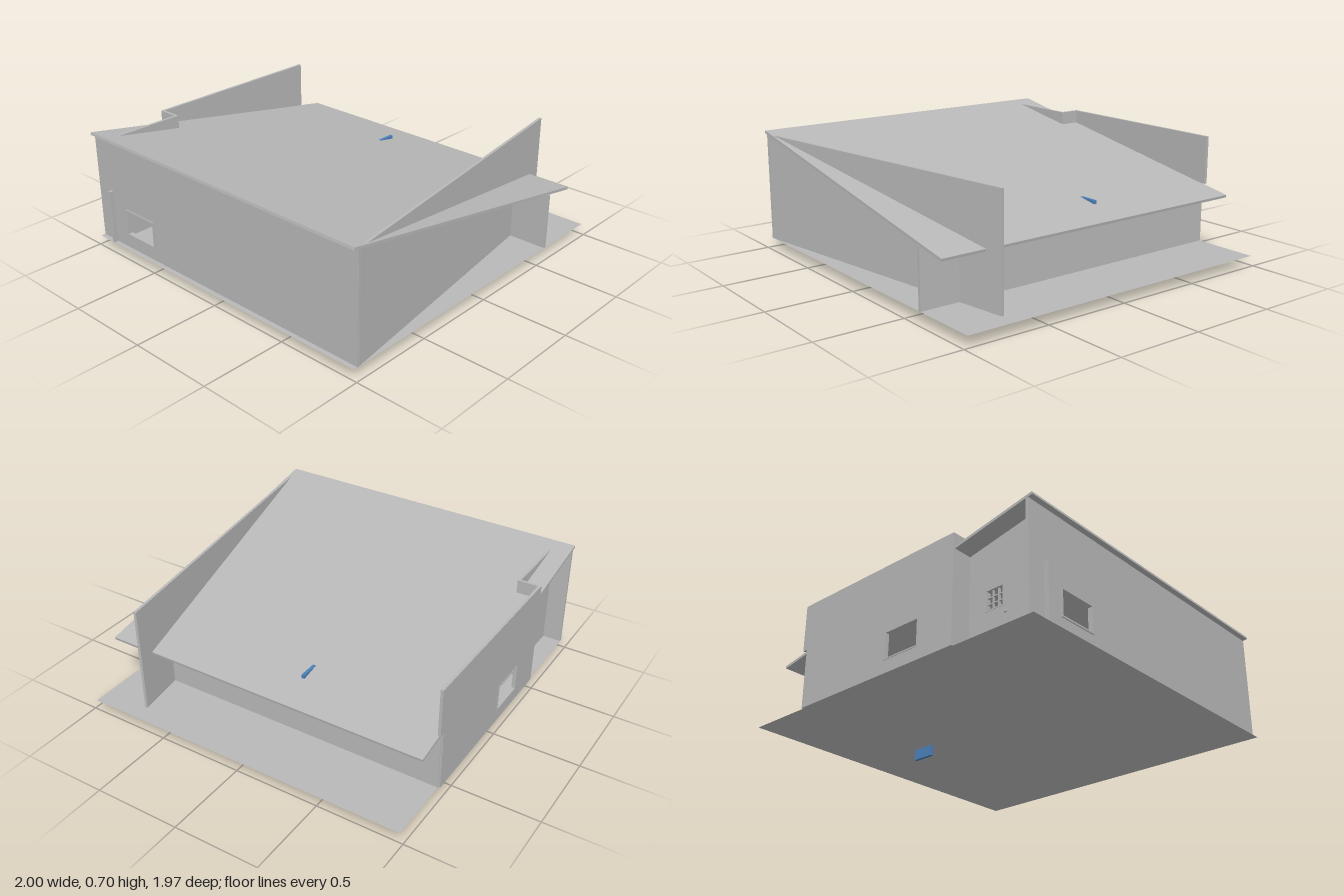
import * as THREE from 'three';

const FLOOR = 0.062, TOP = 0.688, T = 0.016;

export function createModel() {
  const model = new THREE.Group();
  const grey = new THREE.MeshStandardMaterial({ color: 0xb8b8b8 });
  grey.name = 'concrete grey';
  grey.side = THREE.DoubleSide;
  const blue = new THREE.MeshStandardMaterial({ color: 0x4c80b8 });
  blue.name = 'panel blue';

  const add = (name, geo, mat = grey, parent = model) => {
    const m = new THREE.Mesh(geo, mat);
    m.name = name;
    parent.add(m);
    return m;
  };
  // Box given by its minimum and maximum corners
  const box = (name, a, b, mat, parent) => {
    const m = add(name, new THREE.BoxGeometry(b[0] - a[0], b[1] - a[1], b[2] - a[2]), mat, parent);
    m.position.set((a[0] + b[0]) / 2, (a[1] + b[1]) / 2, (a[2] + b[2]) / 2);
    return m;
  };
  // Upright wall: outline in (distance along, height), with rectangular holes [u0, y0, u1, y1]
  const rect = (u0, y0, u1, y1) => [[u0, y0], [u1, y0], [u1, y1], [u0, y1]].map(p => new THREE.Vector2(...p));
  const wall = (name, [x0, z0], [x1, z1], outline, holes = []) => {
    const shape = new THREE.Shape(outline);
    holes.forEach(h => shape.holes.push(new THREE.Path(rect(...h))));
    const geo = new THREE.ExtrudeGeometry(shape, { depth: T, bevelEnabled: false });
    geo.translate(0, 0, -T / 2);
    const m = add(name, geo);
    m.position.set(x0, 0, z0);
    m.rotation.y = -Math.atan2(z1 - z0, x1 - x0);
    return m;
  };
  // Four bars round an opening, standing a little proud of the wall
  const frame = (name, parent, [u0, y0, u1, y1], w = 0.01, d = 0.014) => {
    const g = new THREE.Group();
    g.name = name;
    box('sill', [u0, y0, -d], [u1, y0 + w, d], grey, g);
    box('head', [u0, y1 - w, -d], [u1, y1, d], grey, g);
    box('jamb', [u0, y0, -d], [u0 + w, y1, d], grey, g);
    box('jamb', [u1 - w, y0, -d], [u1, y1, d], grey, g);
    parent.add(g);
  };

  // Ground slab, a single sheet
  const ground = add('ground', new THREE.PlaneGeometry(2, 1.96));
  ground.rotation.x = -Math.PI / 2;
  ground.position.y = FLOOR;

  // Sloping roof
  const roofShape = new THREE.Shape([[-1, 0.69], [0.797, 0.36], [0.8, 0.375], [-0.997, 0.705]].map(p => new THREE.Vector2(...p)));
  add('roof', new THREE.ExtrudeGeometry(roofShape, { depth: 1.96, bevelEnabled: false })).position.z = -0.98;

  // Slanting front wall that rises above the roof
  const fl = Math.hypot(1.87, 0.272);
  wall('frontWall', [-0.97, 0.973], [0.9, 0.701], rect(0, FLOOR, fl, TOP));

  // Side walls
  const sideWindow = [0.23, 0.14, 0.475, 0.3];
  const left = wall('leftWall', [-0.965, -0.98], [-0.965, 0.98], rect(0, FLOOR, 1.96, 0.684), [sideWindow]);
  frame('sideWindowFrame', left, sideWindow);
  wall('rightWall', [0.607, -0.98], [0.607, 0.98], rect(0, FLOOR, 1.96, 0.39));

  // Back wall, its upper part reaching past the right wall
  const backOutline = [[0, FLOOR], [1.1, FLOOR], [1.1, 0.41], [1.13, 0.41], [1.13, TOP], [0, TOP]];
  const backWindow = [0.22, 0.135, 0.46, 0.295];
  const back = wall('backWall', [-0.49, -0.982], [0.64, -0.982], backOutline.map(p => new THREE.Vector2(...p)), [backWindow]);
  frame('backWindowFrame', back, backWindow, 0.008, 0.011);

  // Recessed entrance: return wall and door wall with a low stub past the side wall
  wall('returnWall', [-0.492, -0.99], [-0.492, -0.855], rect(0, FLOOR, 0.135, TOP));
  const entryOutline = [[0, FLOOR], [0.516, FLOOR], [0.516, TOP], [0.035, TOP], [0.035, 0.378], [0, 0.378]];
  const entry = wall('entryWall', [-1, -0.863], [-0.484, -0.863],
    entryOutline.map(p => new THREE.Vector2(...p)), [[0.273, 0.245, 0.383, 0.355]]);

  // Door: plate with a glazed opening, muntins and a knob
  const doorShape = new THREE.Shape(rect(0.235, FLOOR, 0.41, 0.375));
  doorShape.holes.push(new THREE.Path(rect(0.273, 0.245, 0.383, 0.355)));
  add('door', new THREE.ExtrudeGeometry(doorShape, { depth: 0.005, bevelEnabled: false }), grey, entry).position.z = -0.013;
  frame('doorWindowFrame', entry, [0.268, 0.24, 0.388, 0.36], 0.008, 0.015);
  for (const k of [1, 2]) {
    const u = 0.273 + k * 0.11 / 3, y = 0.245 + k * 0.11 / 3;
    box('muntin', [u - 0.003, 0.245, -0.006], [u + 0.003, 0.355, 0.006], grey, entry);
    box('muntin', [0.273, y - 0.003, -0.006], [0.383, y + 0.003, 0.006], grey, entry);
  }
  add('doorKnob', new THREE.SphereGeometry(0.007, 12, 8), grey, entry).position.set(0.256, 0.2, -0.018);

  // Blue panel passing through floor and roof
  box('bluePanel', [0.465, 0, -0.165], [0.6, 0.432, -0.147], blue);

  return model;
}
